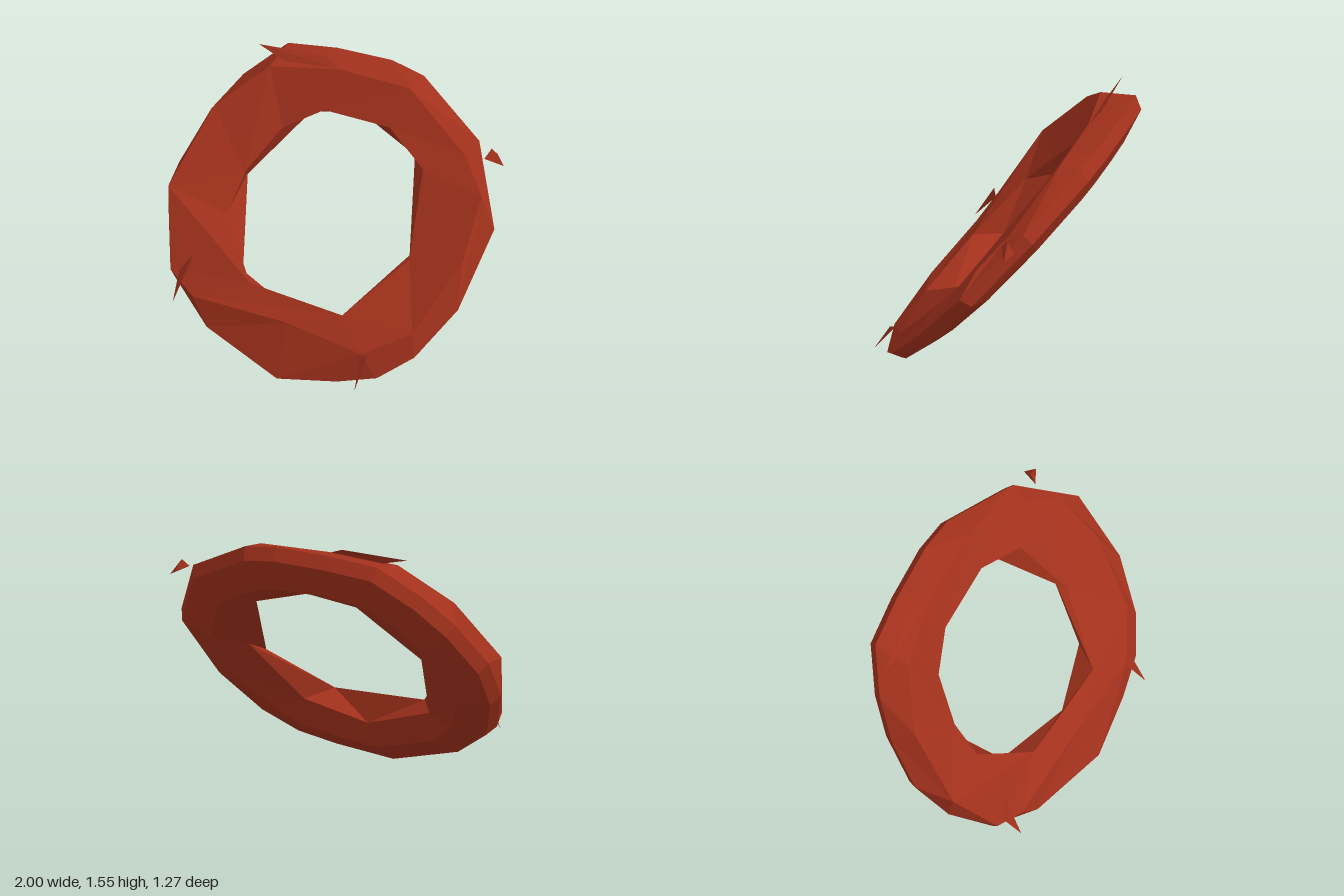
import * as THREE from 'three';

const clay = new THREE.MeshStandardMaterial({ color: 0xa2311c, flatShading: true, side: THREE.DoubleSide });
clay.name = 'brick red';

// Outlines in the ring's own plane, counter-clockwise, some with their own height as third value
const outer = [
  [0.95, -0.28], [1, 0.23], [0.73, 0.69], [0.27, 0.95], [0.05, 0.98], [-0.3, 0.95], [-0.6, 0.89], [-0.8, 0.64],
  [-0.92, 0.39], [-1, 0.04], [-0.95, -0.28], [-0.79, -0.6], [-0.5, -0.82], [0.02, -0.98], [0.38, -0.89],
  [0.61, -0.8], [0.79, -0.62],
];
const frontRidge = [
  [0.9, -0.02, 0.06], [0.88, 0.38, 0.06], [0.7, 0.58, 0.06], [0.25, 0.85, 0.11], [-0.2, 0.83, 0.12],
  [-0.6, 0.72, 0.16], [-0.85, 0.4, 0.16], [-0.95, -0.12, 0.17], [-0.8, -0.57, 0.09], [-0.62, -0.68, 0.075],
  [0, -0.66, 0.105], [0.5, -0.7, 0.09], [0.75, -0.5, 0.06],
];
const innerFront = [
  [0.56, -0.09, 0.01], [0.48, 0.43, 0.07], [0.2, 0.6, 0.08], [-0.22, 0.58, 0.08], [-0.44, 0.41, 0.06],
  [-0.57, 0.1, 0.06], [-0.59, -0.16, 0.07], [-0.31, -0.505, 0.07], [0.31, -0.52, 0.09],
];
const innerBack = [
  [0.59, 0.05], [0.35, 0.5], [-0.05, 0.64], [-0.35, 0.56], [-0.6, 0.1], [-0.43, -0.44], [0.06, -0.62], [0.42, -0.45],
];

// Each outer corner joins the corner of another outline closest in direction
function nearest(outline, [x, y]) {
  const score = ([a, b]) => (a * x + b * y) / Math.hypot(a, b);
  return outline.reduce((best, p) => (score(p) > score(best) ? p : best));
}

function ringGeometry() {
  // Cross-section: outline, scale, height along the axis
  const rows = [
    [outer, 1, 0.01], [frontRidge, 1, 0], [innerFront, 1, 0],
    [innerBack, 1, -0.06], [outer, 0.77, -0.13], [outer, 0.965, -0.07],
  ];
  const point = (i, j) => {
    const [outline, scale, height] = rows[j % rows.length];
    const [x, y, ownHeight = 0] = nearest(outline, outer[i % outer.length]);
    return new THREE.Vector3(x * scale, y * scale, height + ownHeight);
  };
  const points = [];
  const triangle = (a, b, c) => {
    if (a.distanceTo(b) > 1e-4 && b.distanceTo(c) > 1e-4 && a.distanceTo(c) > 1e-4) points.push(a, b, c);
  };
  for (let i = 0; i < outer.length; i++) {
    for (let j = 0; j < rows.length; j++) {
      const a = point(i, j), b = point(i + 1, j), c = point(i + 1, j + 1), d = point(i, j + 1);
      triangle(a, b, c);
      triangle(a, c, d);
    }
  }
  const geometry = new THREE.BufferGeometry().setFromPoints(points);
  geometry.computeVertexNormals();
  return geometry;
}

// Sharp flakes around the rim, each a fan of triangles from its first corner
const flakes = {
  looseChip: [[0.84, 1.29, -0.4], [0.915, 1.19, -0.41], [0.82, 1.24, -0.35], [0.85, 1.23, -0.45], [0.915, 1.19, -0.41]],
  topFlake: [[-0.71, 1.525, -0.36], [-0.46, 1.455, -0.34], [-0.2, 1.5, -0.4], [-0.3, 1.54, -0.43]],
  lowerLeftFlake: [[0.53, 0.08, 0.62], [0.55, 0.27, 0.51], [0.5, 0.24, 0.5]],
  lowerRightFlake: [[-0.71, 0.28, 0.6], [-0.66, 0.54, 0.45], [-0.74, 0.42, 0.48]],
};

function flakeGeometry(corners) {
  const p = corners.map((c) => new THREE.Vector3(...c));
  const points = [];
  for (let i = 1; i < p.length - 1; i++) points.push(p[0], p[i], p[i + 1]);
  const geometry = new THREE.BufferGeometry().setFromPoints(points);
  geometry.computeVertexNormals();
  return geometry;
}

export function createModel() {
  const model = new THREE.Group();
  model.name = 'facetedRing';

  // Leaning ring, turned slightly to one side
  const ring = new THREE.Mesh(ringGeometry(), clay);
  ring.name = 'ring';
  ring.rotation.set(-0.68, 0.068, 0);
  ring.position.set(0, 0.772, 0.02);
  model.add(ring);

  for (const [name, corners] of Object.entries(flakes)) {
    const mesh = new THREE.Mesh(flakeGeometry(corners), clay);
    mesh.name = name;
    model.add(mesh);
  }
  return model;
}
